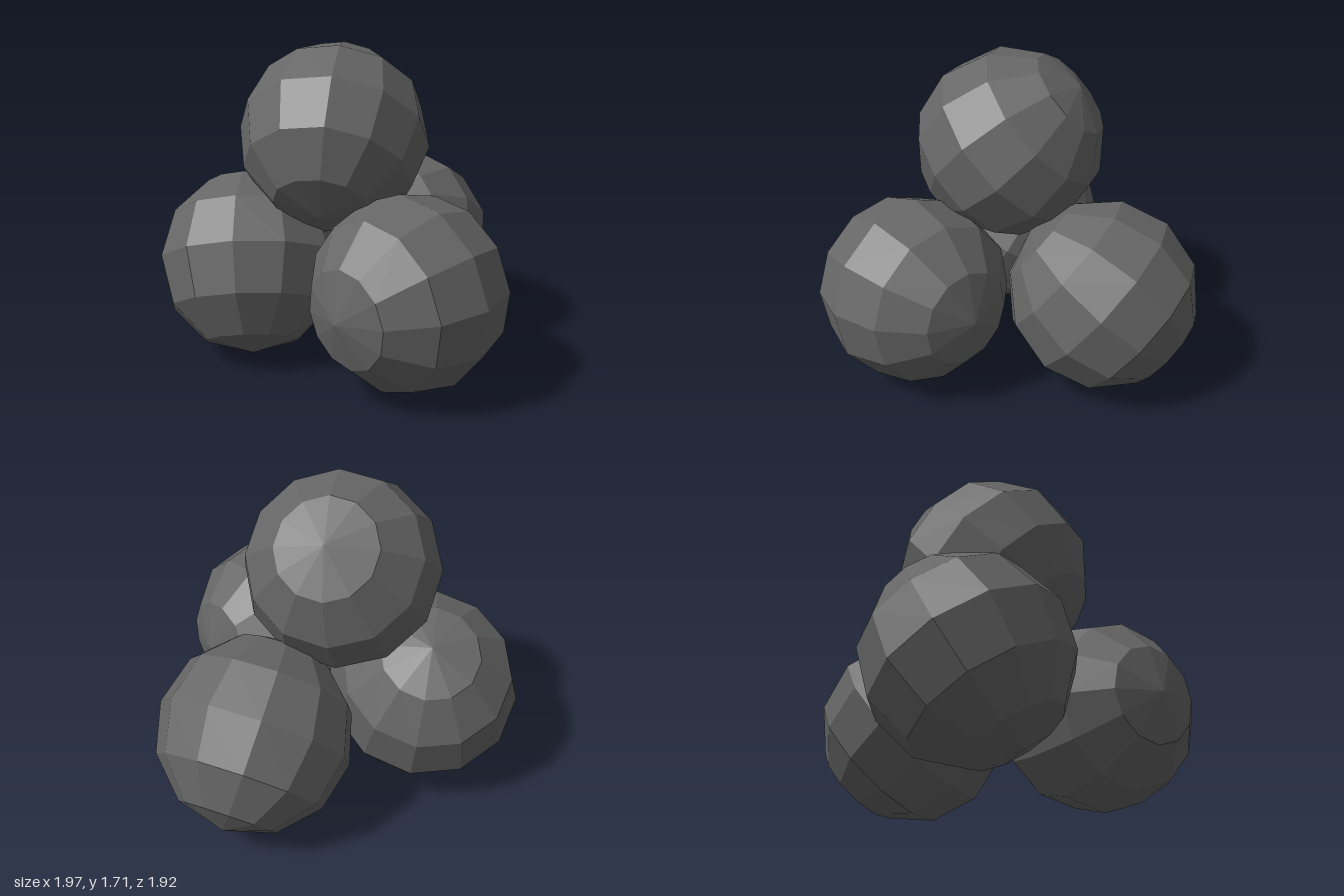
import * as THREE from 'three';

const RADIUS = 0.512;

export function createModel() {
  const group = new THREE.Group();
  group.name = 'ballPile';
  const material = new THREE.MeshStandardMaterial({ color: 0x666666, flatShading: true });
  const geometry = new THREE.SphereGeometry(RADIUS, 12, 6);

  // A faceted ball: its poles lie along axis, one meridian faces toward
  function ball(name, position, axis, toward) {
    const y = new THREE.Vector3(...axis).normalize();
    const x = new THREE.Vector3(...toward);
    x.addScaledVector(y, -x.dot(y)).normalize();
    const z = new THREE.Vector3().crossVectors(x, y);
    const mesh = new THREE.Mesh(geometry, material);
    mesh.name = name;
    mesh.position.set(...position);
    mesh.quaternion.setFromRotationMatrix(new THREE.Matrix4().makeBasis(x, y, z));
    group.add(mesh);
  }

  // Three balls on the ground, each rolled differently
  ball('frontBall', [-0.115, 0.51, 0.455], [0.99, 0.05, -0.14], [0, 0.995, -0.09]);
  ball('backLeftBall', [0.49, 0.515, -0.355], [0.64, -0.6, -0.487], [0.12, 0.845, -0.52]);
  ball('backRightBall', [-0.49, 0.51, -0.46], [0.27, 0.86, -0.42], [0.585, -0.485, -0.65]);

  // One ball resting on top
  ball('topBall', [-0.13, 1.215, -0.17], [0.53, 0.69, -0.5], [0.585, 0.485, 0.65]);

  return group;
}
